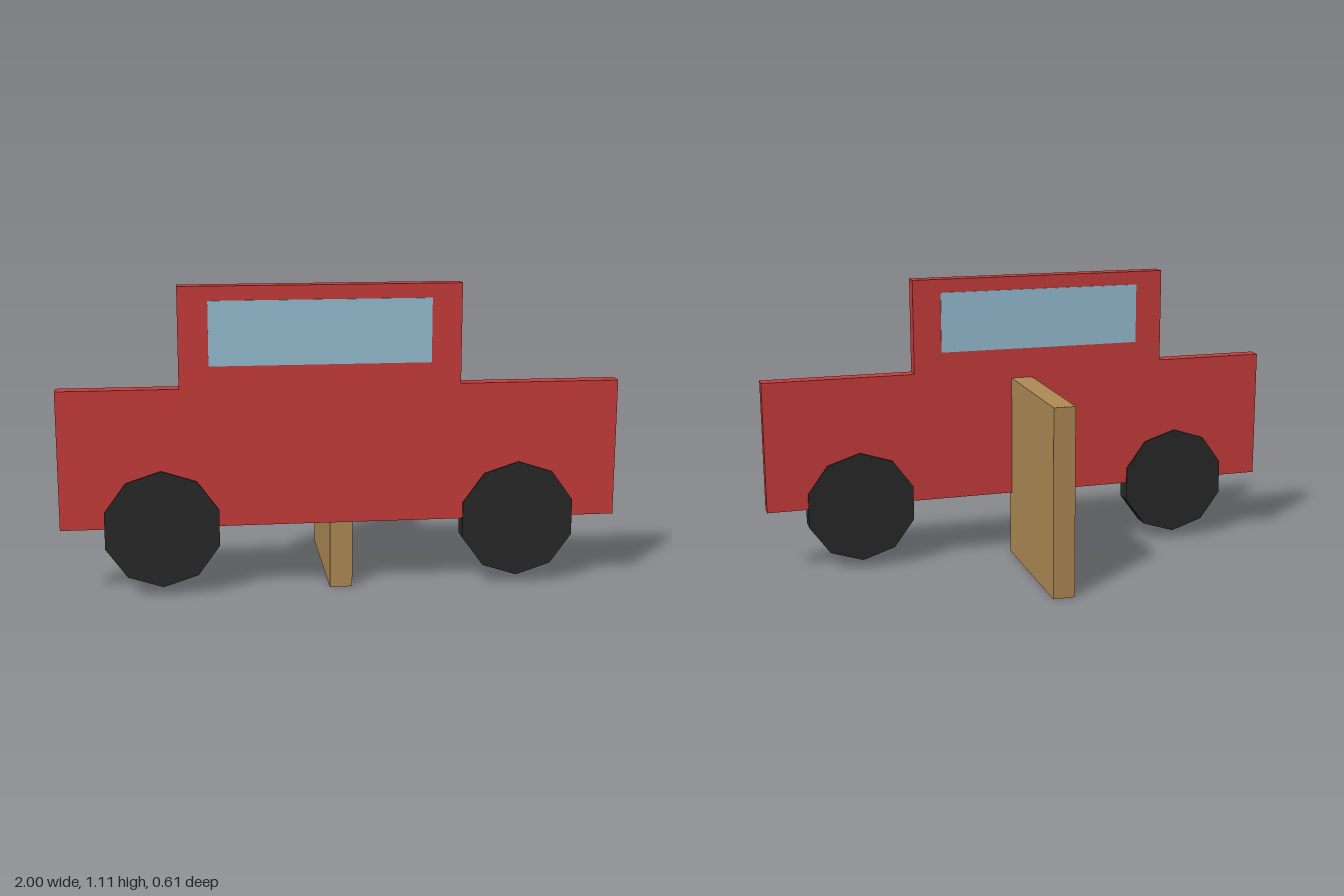
import * as THREE from 'three';

export function createModel() {
  const group = new THREE.Group();

  const add = (name, geometry, color, x, y, z) => {
    const mesh = new THREE.Mesh(geometry, new THREE.MeshStandardMaterial({ color, flatShading: true }));
    mesh.name = name;
    mesh.position.set(x, y, z);
    group.add(mesh);
    return mesh;
  };

  // Flat car silhouette: long lower body with a raised cabin
  const outline = [
    [-1, 0.253], [1, 0.253], [1, 0.752], [0.425, 0.752],
    [0.425, 1.11], [-0.573, 1.11], [-0.573, 0.752], [-1, 0.752],
  ];
  const silhouette = new THREE.Shape(outline.map(([x, y]) => new THREE.Vector2(x, y)));
  add('carBody', new THREE.ExtrudeGeometry(silhouette, { depth: 0.057, bevelEnabled: false }),
    0xc83c3c, 0, 0, 0.24);

  // Window panel, slightly proud of both faces
  add('window', new THREE.BoxGeometry(0.786, 0.229, 0.064), 0x96bed2, -0.075, 0.945, 0.2685);

  // Ten-sided wheels passing through the body
  const wheel = new THREE.CylinderGeometry(0.213, 0.213, 0.071, 10).rotateX(Math.PI / 2);
  for (const side of [-1, 1]) {
    add(side > 0 ? 'leftWheel' : 'rightWheel', wheel, 0x282828, side * 0.642, 0.247, 0.2685);
  }

  // Wooden support board behind the cutout
  add('supportBoard', new THREE.BoxGeometry(0.082, 0.715, 0.573), 0xb08a55, 0, 0.3575, -0.0165);

  return group;
}
